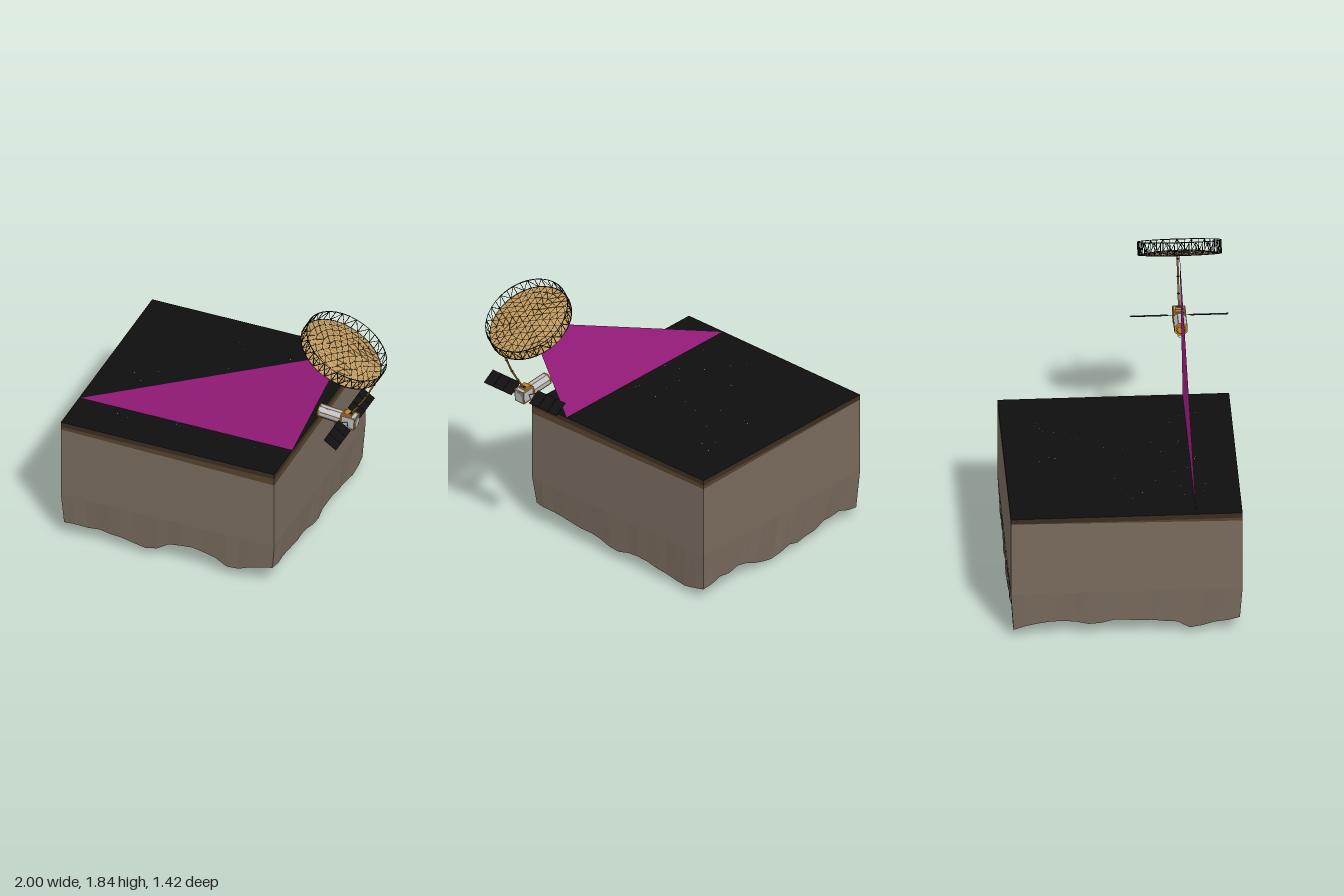
import * as THREE from 'three';
import { mergeGeometries } from 'three/addons/utils/BufferGeometryUtils.js';

const mat = (name, color, extra = {}) => {
  const m = new THREE.MeshStandardMaterial({ color, ...extra });
  m.name = name;
  return m;
};
const V = (x, y, z) => new THREE.Vector3(x, y, z);

export function createModel() {
  const rock = mat('rock', 0x786a5d, { flatShading: true });
  const underRock = mat('dark rock', 0x5a5047, { flatShading: true });
  const soil = mat('soil', 0x56422b, { flatShading: true });
  const topSoil = mat('dark soil', 0x392d21, { flatShading: true });
  const black = mat('black', 0x0e0e0e, { flatShading: true });
  const beamMat = mat('magenta', 0xa8208a, { side: THREE.DoubleSide });
  const mesh = mat('mesh gold', 0xc2995a, { flatShading: true, side: THREE.DoubleSide });
  const gold = mat('foil gold', 0xc08428, { flatShading: true });
  const silver = mat('silver', 0xb9bcc0, { flatShading: true });
  const grey = mat('dark grey', 0x4a4640, { flatShading: true });

  const model = new THREE.Group();
  const add = (parent, name, geometry, material, pos) => {
    const m = new THREE.Mesh(geometry, material);
    m.name = name;
    if (pos) m.position.set(...pos);
    parent.add(m);
    return m;
  };
  const group = (name, parent = model) => {
    const g = new THREE.Group();
    g.name = name;
    parent.add(g);
    return g;
  };
  const triangles = (points) => {
    const g = new THREE.BufferGeometry().setFromPoints(points);
    g.computeVertexNormals();
    return g;
  };
  // Faceted surface over a grid of points
  const surface = (nu, nv, fn) => {
    const p = [];
    for (let u = 0; u < nu; u++) for (let v = 0; v < nv; v++) {
      const a = fn(u, v), b = fn(u + 1, v), c = fn(u + 1, v + 1), d = fn(u, v + 1);
      p.push(a, b, c, a, c, d);
    }
    return triangles(p);
  };
  // Straight bar between two points
  const bar = (a, b, r, sides = 4) => {
    const d = b.clone().sub(a);
    const g = new THREE.CylinderGeometry(r, r, d.length(), sides);
    g.applyQuaternion(new THREE.Quaternion().setFromUnitVectors(V(0, 1, 0), d.normalize()));
    const c = a.clone().add(b).multiplyScalar(0.5);
    return g.translate(c.x, c.y, c.z);
  };
  let seed = 7;
  const random = () => (seed = (seed * 16807) % 2147483647) / 2147483647;

  // ---- Block of ground ----
  const ground = group('groundBlock');
  const N = 18, TOP = 0.838, X0 = -1, Z0 = -0.71, S = 1.4;
  const profile = (table, t) => {
    const f = t * (table.length - 1), i = Math.min(Math.floor(f), table.length - 2);
    return THREE.MathUtils.lerp(table[i], table[i + 1], f - i);
  };
  const frontEdge = [0.1, 0.1, 0.1, 0.08, 0.04, 0.12, 0.15, 0.12, 0.05, 0.11, 0.13];
  const rightEdge = [0.07, 0.03, 0.06, 0.1, 0.06, 0.09, 0.11, 0.12, 0.13];
  const bottom = [];
  for (let i = 0; i <= N; i++) {
    bottom.push([]);
    for (let j = 0; j <= N; j++) {
      const u = i / N, v = j / N;
      let y = 0.07 + 0.025 * Math.sin(9 * u + 4 * v) + 0.02 * Math.sin(13 * v - 5 * u) + 0.045 * (random() - 0.5);
      y = THREE.MathUtils.lerp(y, profile(rightEdge, v), Math.max(0, 1 - (1 - u) * 6));
      y = THREE.MathUtils.lerp(y, profile(frontEdge, u), Math.max(0, 1 - (1 - v) * 6));
      y += 0.012 * (random() - 0.5);
      const inset = 0.97 + 0.02 * random();
      const squeeze = (t) => (t - 0.5) * inset + 0.5;
      const jig = () => (i % N && j % N ? 0.02 * (random() - 0.5) : 0);
      bottom[i].push(V(X0 + S * squeeze(u) + jig(), Math.max(0, y), Z0 + S * squeeze(v) + jig()));
    }
  }
  bottom[8][13].y = 0;
  // Walk round the four sides: front, right, back, left
  const rim = (k) => {
    const side = Math.floor(k / N) % 4, t = k % N;
    return [[t, N], [N, N - t], [N - t, 0], [0, t]][side];
  };
  const wall = (name, rows, material) => add(ground, name, surface(4 * N, rows.length - 1, (k, r) => {
    const [i, j] = rim(k), x = X0 + S * i / N, z = Z0 + S * j / N;
    return rows[r] === null ? bottom[i][j] : V(x, rows[r](x, z), z);
  }), material);
  const soilLine = (x, z) => 0.782 - 0.018 * (x + 0.3) - 0.014 * z;
  wall('rockWalls', [null, () => 0.31, soilLine], rock);
  wall('soilLayer', [soilLine, () => 0.805], soil);
  wall('topSoilLayer', [() => 0.805, () => TOP], topSoil);
  add(ground, 'rockUnderside', surface(N, N, (i, j) => bottom[i][j]), underRock);
  add(ground, 'blackTop', new THREE.PlaneGeometry(S, S).rotateX(-Math.PI / 2), black, [-0.3, TOP, -0.01]);
  const specks = [];
  for (let k = 0; k < 40; k++) {
    specks.push(new THREE.BoxGeometry(0.004, 0.001, 0.004)
      .translate(-0.3 + (random() - 0.5), TOP + 0.0005, -0.01 + (random() - 0.5)));
  }
  add(ground, 'groundSpecks', mergeGeometries(specks), silver);

  // ---- Scanning beam ----
  const ZC = 0.41;
  add(model, 'radarBeam', triangles([V(-1, TOP, ZC), V(0.4, TOP, ZC), V(0.735, 1.645, ZC)]), beamMat);

  // ---- Reflector: hoop truss with a domed triangulated net ----
  const dish = group('reflector');
  dish.position.set(0.719, 1.636, ZC);
  dish.rotation.z = -0.503;
  const RX = 0.274, RZ = 0.253, H = 0.078, RINGS = 6, BAYS = 36;
  const net = (k, m) => {
    const a = k ? (2 * Math.PI * m) / (6 * k) : 0, r = k / RINGS;
    return V(RX * r * Math.cos(a), 0.022 * (1 - r * r), RZ * r * Math.sin(a));
  };
  const facets = [], cords = [];
  for (let s = 0; s < 6; s++) for (let k = 0; k < RINGS; k++) for (let t = 0; t <= k; t++) {
    const a = net(k, s * k + t), b = net(k + 1, s * (k + 1) + t), c = net(k + 1, s * (k + 1) + t + 1);
    facets.push(a, c, b);
    cords.push(bar(a, b, 0.0018, 3), bar(b, c, 0.0018, 3), bar(c, a, 0.0018, 3));
    if (t < k) facets.push(a, net(k, s * k + t + 1), c);
  }
  add(dish, 'reflectorNet', triangles(facets), mesh);
  add(dish, 'netCords', mergeGeometries(cords), black);
  const hoop = (m, y) => {
    const a = (2 * Math.PI * m) / BAYS;
    return V(RX * Math.cos(a), y, RZ * Math.sin(a));
  };
  const truss = [];
  for (let m = 0; m < BAYS; m++) {
    const up = m % 2;
    truss.push(
      bar(hoop(m, 0), hoop(m + 1, 0), 0.003),
      bar(hoop(m, H), hoop(m + 1, H), 0.003),
      bar(hoop(m, 0), hoop(m, H), 0.0022),
      bar(hoop(m, up ? 0 : H), hoop(m + 1, up ? H : 0), 0.002));
  }
  add(dish, 'hoopTruss', mergeGeometries(truss), black);

  // ---- Boom ----
  const boom = group('boom');
  const path = [V(0.957, 1.515, ZC), V(0.888, 1.375, ZC), V(0.845, 1.305, ZC), V(0.785, 1.215, ZC)];
  for (let i = 0; i < 3; i++) add(boom, 'boomSegment', bar(path[i], path[i + 1], 0.006, 6), gold);
  [V(0.935, 1.47, ZC), path[1], V(0.833, 1.287, ZC)].forEach((p) =>
    add(boom, 'boomJoint', new THREE.OctahedronGeometry(0.009, 1), black, p.toArray()));

  // ---- Spacecraft ----
  const craft = group('spacecraft');
  craft.position.set(0.7, 1.176, ZC);
  craft.rotation.z = -0.09;
  const prism = (r, len) => new THREE.CylinderGeometry(r, r, len, 8).rotateY(Math.PI / 8).rotateZ(Math.PI / 2);
  add(craft, 'octagonalBody', prism(0.041, 0.145), silver, [-0.045, 0, 0]);
  [-0.118, 0.026].forEach((x) => add(craft, 'goldCollar', prism(0.0435, 0.008), gold, [x, 0, 0]));
  add(craft, 'endCap', new THREE.CylinderGeometry(0.024, 0.034, 0.01, 8).rotateZ(Math.PI / 2), gold, [-0.124, 0, 0]);
  const edges = [];
  for (let k = 0; k < 8; k++) {
    const a = Math.PI / 8 + (k * Math.PI) / 4;
    edges.push(bar(V(-0.118, 0.041 * Math.sin(a), 0.041 * Math.cos(a)), V(0.026, 0.041 * Math.sin(a), 0.041 * Math.cos(a)), 0.0025));
  }
  add(craft, 'bodyEdges', mergeGeometries(edges), gold);
  for (const side of [1, -1]) {
    const panel = add(craft, 'lowerPanel', new THREE.BoxGeometry(0.12, 0.026, 0.004), grey, [-0.045, -0.0268, side * 0.0268]);
    panel.rotation.x = side * Math.PI / 4;
  }
  // Instrument box with gold frame
  add(craft, 'instrumentBox', new THREE.BoxGeometry(0.092, 0.078, 0.07), silver, [0.076, 0, 0]);
  const frame = [];
  for (const sy of [-0.039, 0.039]) for (const sz of [-0.035, 0.035]) {
    frame.push(bar(V(0.03, sy, sz), V(0.122, sy, sz), 0.0045));
    for (const x of [0.032, 0.121]) {
      frame.push(bar(V(x, -0.039, sz), V(x, 0.039, sz), 0.004), bar(V(x, sy, -0.035), V(x, sy, 0.035), 0.004));
    }
  }
  add(craft, 'boxFrame', mergeGeometries(frame), gold);
  add(craft, 'endPlate', prism(0.034, 0.006), silver, [0.124, -0.003, 0]);
  add(craft, 'boomMount', new THREE.BoxGeometry(0.05, 0.016, 0.05), gold, [0.068, 0.045, 0]);
  add(craft, 'boomHinge', new THREE.CylinderGeometry(0.01, 0.01, 0.03, 8).rotateX(Math.PI / 2), black, [0.083, 0.05, 0]);

  // Downward antenna
  const antenna = group('antenna');
  const foot = V(0.68, 1.09, ZC);
  add(antenna, 'antennaMast', bar(V(0.68, 1.14, ZC), foot, 0.0022), grey);
  add(antenna, 'antennaDish', new THREE.CylinderGeometry(0.005, 0.016, 0.008, 10), silver, [0.68, 1.084, ZC]);
  for (const s of [1, -1]) {
    add(antenna, 'whip', bar(V(0.69, 1.15, ZC + s * 0.03), V(0.69, 1.118, ZC + s * 0.034), 0.0015), grey);
  }

  // ---- Solar wings, three panels on each side ----
  for (const s of [1, -1]) {
    const wing = group(s > 0 ? 'frontSolarWing' : 'backSolarWing');
    wing.position.set(0.773, 1.172, ZC);
    wing.rotation.z = -0.6;
    for (let k = 0; k < 3; k++) {
      add(wing, 'solarPanel', new THREE.BoxGeometry(0.097, 0.004, 0.073), black, [0, 0, s * (0.109 + k * 0.0755)]);
    }
    add(wing, 'panelHinges', bar(V(0, 0, s * 0.07), V(0, 0, s * 0.29), 0.0018), grey);
    for (const x of [-0.028, 0.028]) {
      add(wing, 'wingYoke', bar(V(0, 0, s * 0.035), V(x, 0, s * 0.074), 0.002), grey);
    }
  }
  return model;
}
